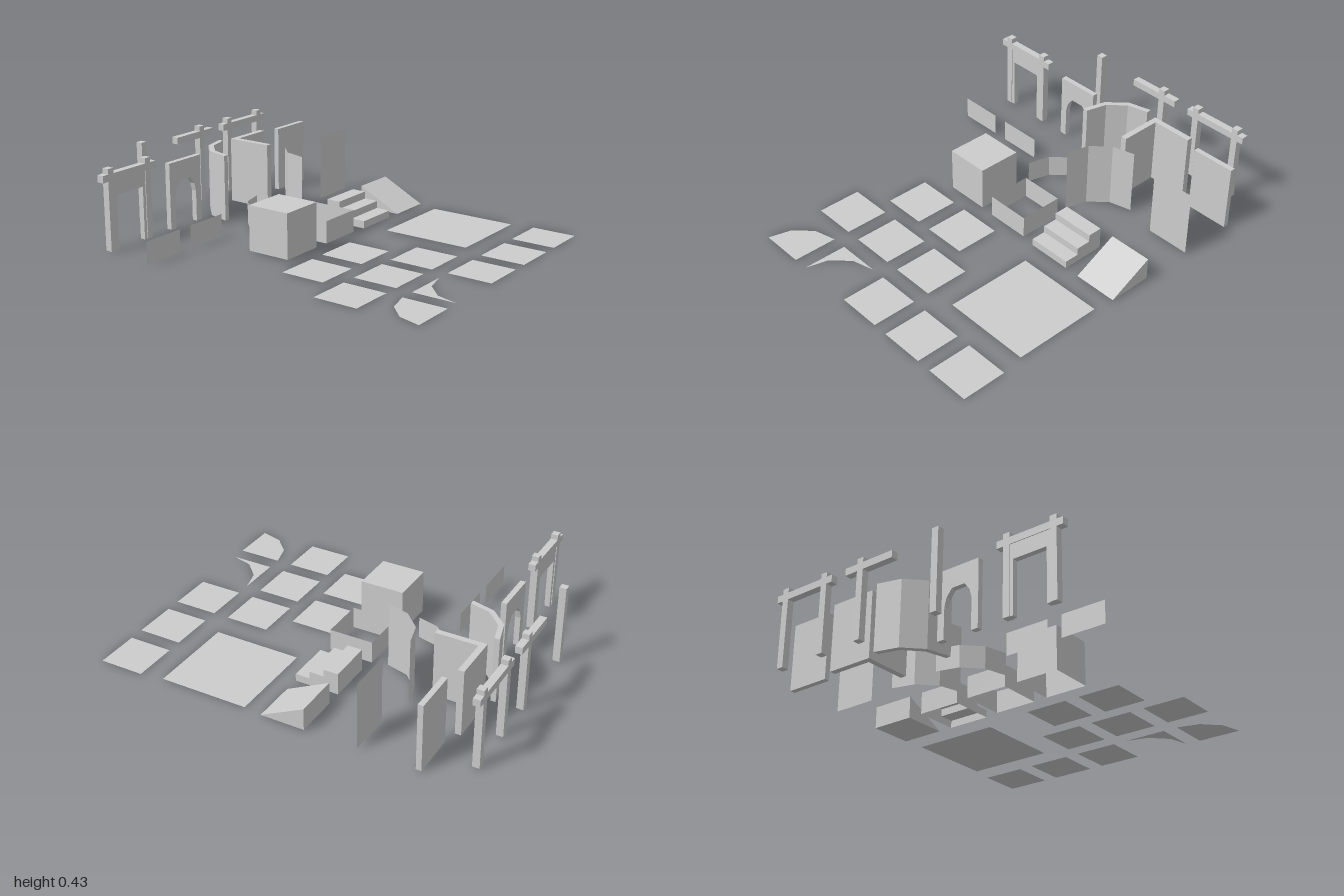
import * as THREE from 'three';

const CELL = 0.237;          // module size
const BASE = 0.006;          // height of the standing pieces' feet
const LOW = 0.118, TALL = 0.356;

export function createModel() {
  const root = new THREE.Group();
  root.name = 'modularKit';
  const grey = new THREE.MeshStandardMaterial({ color: 0xcccccc, side: THREE.DoubleSide });
  grey.name = 'plainGrey';

  const add = (name, geometry, x = 0, y = 0, z = 0, parent = root) => {
    const mesh = new THREE.Mesh(geometry, grey);
    mesh.name = name;
    mesh.position.set(x, y, z);
    parent.add(mesh);
    return mesh;
  };
  const group = (name) => {
    const g = new THREE.Group();
    g.name = name;
    root.add(g);
    return g;
  };
  // box from its limits
  const box = (name, x0, x1, y0, y1, z0, z1, parent) =>
    add(name, new THREE.BoxGeometry(x1 - x0, y1 - y0, z1 - z0),
      (x0 + x1) / 2, (y0 + y1) / 2, (z0 + z1) / 2, parent);
  const shapeOf = (pts) => new THREE.Shape(pts.map(([x, y]) => new THREE.Vector2(x, y)));
  // flat outline given in x,z
  const flat = (pts) => new THREE.ShapeGeometry(shapeOf(pts.map(([x, z]) => [x, -z]))).rotateX(-Math.PI / 2);
  // plan outline in x,z raised to a height
  const raise = (pts, h) => new THREE.ExtrudeGeometry(shapeOf(pts.map(([x, z]) => [x, -z])),
    { depth: h, bevelEnabled: false }).rotateX(-Math.PI / 2);
  // elevation outline in x,y given a thickness centred on z
  const slab = (pts, t) => new THREE.ExtrudeGeometry(shapeOf(pts),
    { depth: t, bevelEnabled: false }).translate(0, 0, -t / 2);
  // thin upright sheet following a path in x,z
  const ribbon = (pts, h) => {
    const v = [];
    for (let i = 0; i < pts.length - 1; i++) {
      const [ax, az] = pts[i], [bx, bz] = pts[i + 1];
      v.push(ax, 0, az, bx, 0, bz, bx, h, bz, ax, 0, az, bx, h, bz, ax, h, az);
    }
    const g = new THREE.BufferGeometry();
    g.setAttribute('position', new THREE.Float32BufferAttribute(v, 3));
    g.computeVertexNormals();
    return g;
  };
  // quarter arc in three straight steps, from the -x end to the -z end
  const arc = (cx, cz, r) => [0, 1, 2, 3].map((i) => {
    const a = i * Math.PI / 6;
    return [cx - r * Math.cos(a), cz - r * Math.sin(a)];
  });
  const square = (x, z, s = CELL) => [[x, z], [x, z + s], [x + s, z + s], [x + s, z]];

  // floor tiles
  const tiles = [[-0.506, 0.123], [-0.188, 0.123], [-0.683, 0.439], [-0.366, 0.439], [-0.053, 0.439],
    [-0.053, 0.762], [0.265, 0.762], [0.582, 0.762]];
  for (const [x, z] of tiles) add('floorTile', flat(square(x, z)));
  add('largeFloorTile', flat(square(0.323, 0.166, 0.476)));
  add('roundedFloorTile', flat([...arc(-0.447, 1, CELL), [-0.447, 1]]));
  add('concaveFloorTile', flat([...arc(-0.13, 1, CELL), [-0.367, 0.763]]));

  // solid block, open underneath
  const block = group('block');
  const blockPlan = square(-0.366, -0.191);
  add('blockSides', ribbon([...blockPlan, blockPlan[0]], CELL), 0, BASE, 0, block);
  add('blockTop', flat(blockPlan), 0, BASE + CELL, 0, block);

  // low open frame
  const framePlan = square(-0.051, -0.187);
  add('openFrame', ribbon([...framePlan, framePlan[0]], LOW), 0, BASE, 0);

  // hollow stairs rising towards the back
  const stairs = group('stairs');
  const front = 0.063, back = front - CELL;
  const profile = [[front, 0]];
  for (let i = 0; i < 3; i++) {
    profile.push([front - i * CELL / 3, (i + 1) * LOW / 3], [front - (i + 1) * CELL / 3, (i + 1) * LOW / 3]);
  }
  profile.push([back, 0]);
  add('stairSteps', ribbon(profile.map(([z, y]) => [-y, z]), CELL).rotateZ(-Math.PI / 2), 0.265, BASE, 0, stairs);
  for (const x of [0.265, 0.265 + CELL]) {
    add('stairSide', new THREE.ShapeGeometry(shapeOf(profile.map(([z, y]) => [-z, y]))).rotateY(Math.PI / 2),
      x, BASE, 0, stairs);
  }

  // ramp rising towards the back
  add('ramp', slab([[-front, 0], [-back, 0], [-back, LOW]], CELL).rotateY(Math.PI / 2),
    0.582 + CELL / 2, BASE, 0);

  // thin straight and curved sheets
  const sheet = (name, x, h) => add(name, ribbon([[x, -0.455], [x + CELL, -0.455]], h), 0, BASE, 0);
  sheet('lowSheet', -0.82, LOW);
  sheet('lowSheet', -0.506, LOW);
  sheet('tallSheet', 0.583, TALL);
  add('lowCurvedSheet', ribbon(arc(0.103, -0.286, CELL), LOW), 0, BASE, 0);
  add('tallCurvedSheet', ribbon(arc(0.402, -0.267, CELL), TALL), 0, BASE, 0);

  // thick walls
  add('curvedWall', raise([...arc(0.19, -0.608, 0.251), ...arc(0.19, -0.608, 0.223).reverse()], TALL), 0, BASE, 0);
  add('cornerWall', raise([[0.251, -0.825], [0.503, -0.825], [0.503, -0.793], [0.283, -0.793],
    [0.283, -0.569], [0.251, -0.569]], TALL), 0, BASE, 0);
  box('straightWall', 0.582, 0.82, BASE, BASE + TALL, -0.781, -0.753);

  // arched wall
  const halfArch = [[0.08, 0], [0.08, 0.165], [0.068, 0.21], [0.037, 0.25]];
  const archPts = [[-CELL / 2, 0], [-CELL / 2, TALL], [CELL / 2, TALL], [CELL / 2, 0],
    ...halfArch, ...halfArch.map(([x, y]) => [-x, y]).reverse()];
  add('archedWall', slab(archPts, 0.029), -0.229, BASE, -0.748);

  // posts and beams
  const timber = (name, z, posts, beam) => {
    const g = group(name);
    for (const x of posts) box('post', x, x + 0.037, BASE, 0.43, z - 0.0185, z + 0.0185, g);
    if (beam) box('beam', beam[0], beam[1], 0.366, 0.403, z - 0.0187, z + 0.0187, g);
    return g;
  };
  const gate = timber('gateway', -0.748, [-0.785, -0.527], [-0.82, -0.452]);
  timber('singlePost', -0.981, [-0.308]);
  timber('crossPost', -0.981, [0.149], [-0.032, 0.26]);
  timber('postPair', -0.981, [0.385, 0.644], [0.35, 0.716]);

  // gateway lining between its posts
  add('gatewayLining', slab([[-0.75, 0], [-0.75, 0.362], [-0.525, 0.362], [-0.525, 0], [-0.545, 0],
    [-0.545, 0.28], [-0.728, 0.28], [-0.728, 0]], 0.029), 0, BASE, -0.748, gate);

  return root;
}
